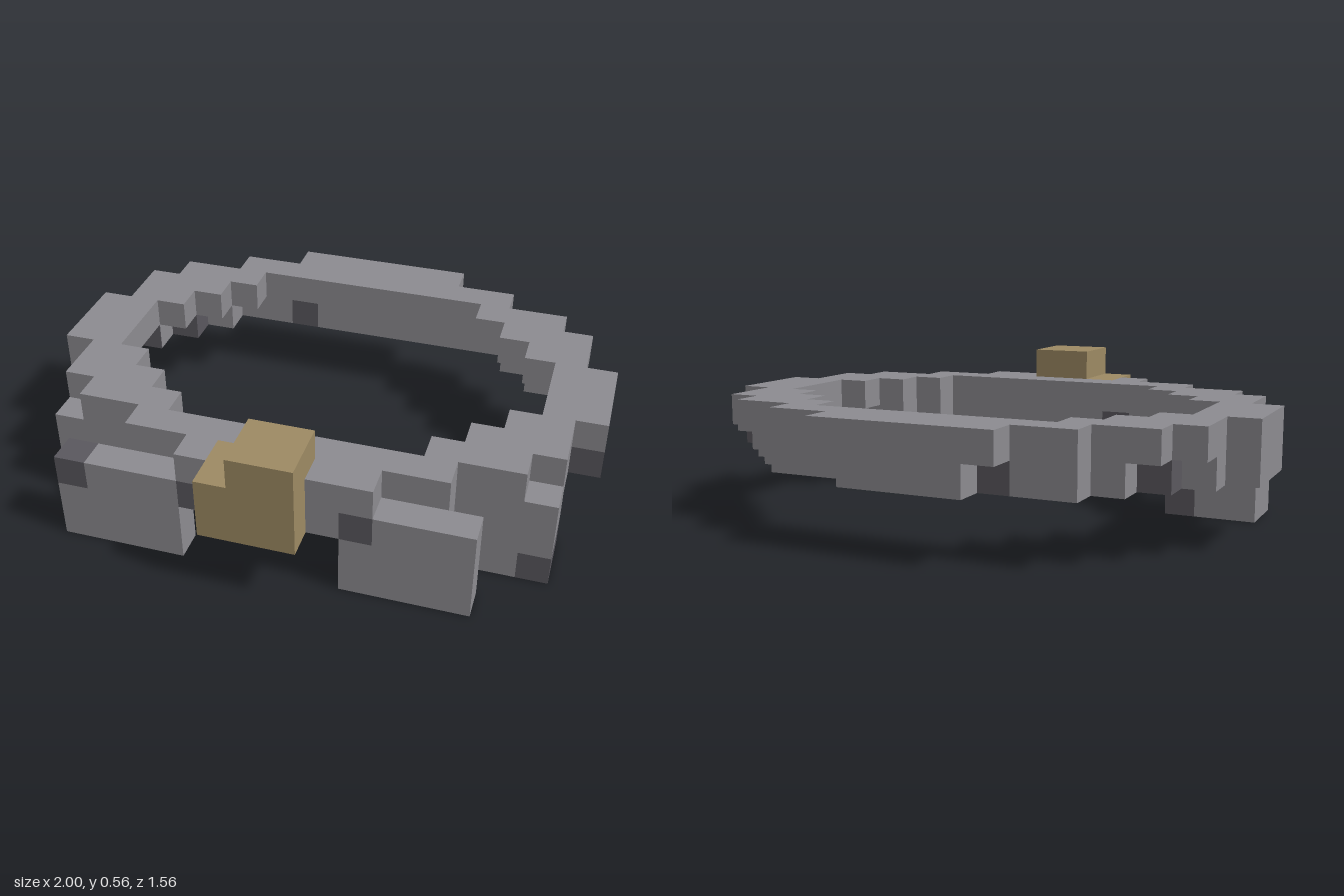
import * as THREE from 'three';

const U = 1 / 9; // edge of one block

export function createModel() {
  const mat = (name, color) => {
    const m = new THREE.MeshStandardMaterial({ color });
    m.name = name;
    return m;
  };
  const grey = mat('grey leather', 0x8c8b90);
  const dark = mat('dark grey', 0x5a585e);
  const gold = mat('dull gold', 0x9d8a63);

  // Block grid: each filled cell stores the part that owns it; later fills override
  const cells = new Map(), parts = [];
  const key = (x, y, z) => `${x},${y},${z}`;
  const part = (name, material) => {
    const p = { name, material };
    parts.push(p);
    return p;
  };
  const fill = (p, x0, x1, y0, y1, z0, z1) => {
    for (let x = x0; x < x1; x++)
      for (let y = y0; y < y1; y++)
        for (let z = z0; z < z1; z++) cells.set(key(x, y, z), p);
  };
  const both = (p, x0, x1, y0, y1, z0, z1) => {
    fill(p, x0, x1, y0, y1, z0, z1);
    fill(p, -x1, -x0, y0, y1, z0, z1);
  };

  // Upper belt ring: mirrored runs of [inner x, outer x, z start, z end]
  const upper = part('beltUpperRing', grey);
  [[0, 3, -7, -6], [0, 5, -6, -5], [4, 7, -5, -4], [5, 8, -4, -3], [6, 8, -3, -2], [7, 9, -2, 1],
    [6, 8, 1, 2], [5, 8, 2, 3], [4, 7, 3, 4], [0, 5, 4, 5], [0, 3, 5, 6]]
    .forEach(([a, b, z0, z1]) => both(upper, a, b, 3, 4, z0, z1));

  // Lower belt ring, thinner at the sides
  const lower = part('beltLowerRing', grey);
  [[0, 2, -7, -6], [0, 5, -6, -5], [5, 6, -5, -4], [6, 7, -4, -3], [7, 8, -3, -2], [8, 9, -2, 1],
    [7, 8, 1, 2], [4, 5, 3, 4], [0, 5, 4, 5], [0, 3, 5, 6]]
    .forEach(([a, b, z0, z1]) => both(lower, a, b, 2, 3, z0, z1));

  // Pouches
  fill(part('frontRightPouch', grey), -7, -3, 0, 3, 5, 6);
  fill(part('frontLeftPouch', grey), 2, 6, 0, 3, 5, 6);
  fill(part('sideRightPouch', grey), -8, -5, 0, 3, 2, 4);
  fill(part('sideLeftPouch', grey), 5, 8, 0, 3, 2, 4);

  // Dark blocks
  const patches = part('darkPatches', dark);
  [[-7, -6, 2, 3, 5, 6], [-3, -2, 2, 3, 4, 6], [2, 3, 2, 3, 5, 6], [8, 9, 2, 3, -2, 1],
    [7, 8, 0, 1, 2, 4], [-6, -5, 0, 1, 2, 4], [-3, -2, 2, 3, -6, -5], [-7, -6, 2, 3, -4, -3]]
    .forEach((b) => fill(patches, ...b));

  // Buckle
  const buckle = part('buckle', gold);
  fill(buckle, -2, 1, 2, 4, 5, 7);
  fill(buckle, -1, 1, 4, 5, 5, 7);

  // Emit only the exposed faces of each part
  const group = new THREE.Group();
  group.name = 'blockBelt';
  for (const p of parts) {
    const pos = [], nor = [], idx = [];
    for (const [k, owner] of cells) {
      if (owner !== p) continue;
      const c = k.split(',').map(Number);
      for (let axis = 0; axis < 3; axis++) {
        for (const s of [-1, 1]) {
          const n = [0, 0, 0];
          n[axis] = s;
          if (cells.has(key(c[0] + n[0], c[1] + n[1], c[2] + n[2]))) continue;
          const base = pos.length / 3, u = (axis + 1) % 3, v = (axis + 2) % 3;
          for (const [i, j] of [[0, 0], [1, 0], [1, 1], [0, 1]]) {
            const q = [...c];
            q[axis] += s > 0 ? 1 : 0;
            q[u] += i;
            q[v] += j;
            pos.push(q[0] * U, q[1] * U, q[2] * U);
            nor.push(...n);
          }
          const order = s > 0 ? [0, 1, 2, 0, 2, 3] : [0, 2, 1, 0, 3, 2];
          idx.push(...order.map((o) => base + o));
        }
      }
    }
    const g = new THREE.BufferGeometry();
    g.setAttribute('position', new THREE.Float32BufferAttribute(pos, 3));
    g.setAttribute('normal', new THREE.Float32BufferAttribute(nor, 3));
    g.setIndex(idx);
    const mesh = new THREE.Mesh(g, p.material);
    mesh.name = p.name;
    group.add(mesh);
  }

  // Dark face on the inner step of the right side
  const plate = new THREE.Mesh(new THREE.BoxGeometry(U, U, 0.004), dark);
  plate.name = 'innerDarkFace';
  plate.position.set(-7.5 * U, 2.5 * U, -2 * U + 0.002);
  group.add(plate);

  return group;
}
